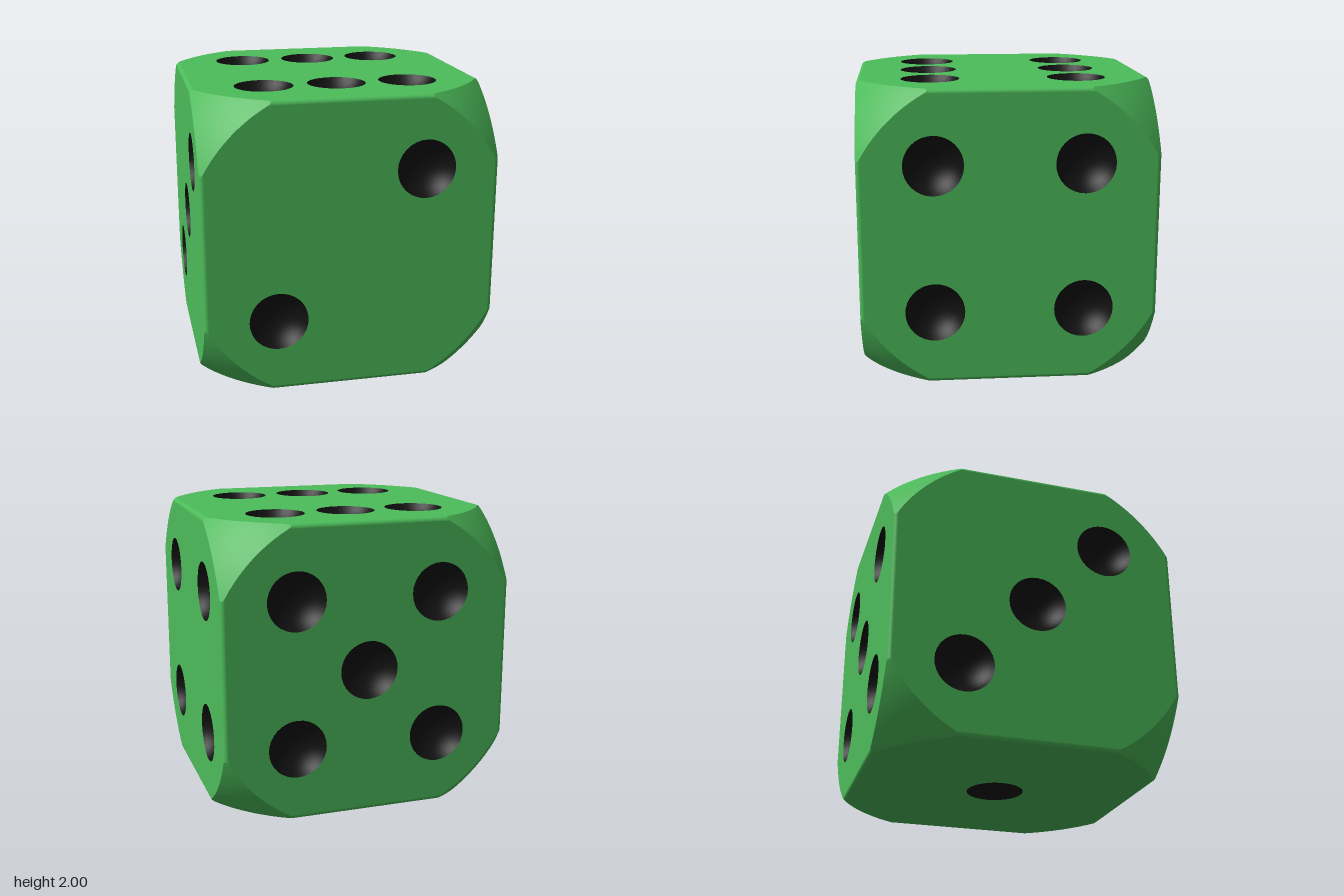
import * as THREE from 'three';

const R = 1.5;            // sphere that trims the cube's corners
const B = 0.03;           // edge rounding radius
const F = 1 - B;          // half width of the flat faces
const FACE_R = Math.sqrt(R * R - 1);
const PIP_R = 0.2, PIP_DEPTH = 0.12;
const H = Math.PI / 2;

const green = new THREE.MeshStandardMaterial({ color: 0x4cbc5a });
const black = new THREE.MeshStandardMaterial({ color: 0x111111 });

// Flat face in the XY plane with a hole for each pip
function faceGeometry(pips) {
  const shape = new THREE.Shape();
  const t0 = Math.acos(F / FACE_R);
  const pts = [];
  for (let k = 0; k < 4; k++)
    for (let i = 0; i <= 10; i++) {
      const t = k * H + t0 + (H - 2 * t0) * i / 10;
      pts.push(new THREE.Vector2(FACE_R * Math.cos(t), FACE_R * Math.sin(t)));
    }
  shape.setFromPoints(pts);
  for (const [x, y] of pips)
    shape.holes.push(new THREE.Path().absarc(x, y, PIP_R, 0, Math.PI * 2, true));
  return new THREE.ShapeGeometry(shape, 16);
}

// Hollow bowl opening towards +z
function pipGeometry() {
  const sphereR = (PIP_R ** 2 + PIP_DEPTH ** 2) / (2 * PIP_DEPTH);
  const a0 = Math.asin(PIP_R / sphereR);
  const profile = [];
  for (let i = 0; i <= 8; i++) {
    const a = a0 * (1 - i / 8);
    profile.push(new THREE.Vector2(sphereR * Math.sin(a), sphereR - PIP_DEPTH - sphereR * Math.cos(a)));
  }
  return new THREE.LatheGeometry(profile, 32).rotateX(H);
}

function build(positions, normals, index) {
  const g = new THREE.BufferGeometry();
  g.setAttribute('position', new THREE.Float32BufferAttribute(positions, 3));
  g.setAttribute('normal', new THREE.Float32BufferAttribute(normals, 3));
  g.setIndex(index);
  return g;
}

// Point on the rounded +x/+y edge where it meets the trimming sphere
function edgePoint(a) {
  const x = F + B * Math.cos(a), y = F + B * Math.sin(a);
  return new THREE.Vector3(x, y, Math.sqrt(R * R - x * x - y * y));
}

// Rounded strip along the z-parallel edge at +x +y
function edgeGeometry(n = 6) {
  const pos = [], nor = [], idx = [];
  for (let i = 0; i <= n; i++) {
    const a = H * i / n, p = edgePoint(a);
    for (const s of [-1, 1]) {
      pos.push(p.x, p.y, s * p.z);
      nor.push(Math.cos(a), Math.sin(a), 0);
    }
    const k = i * 2;
    if (i < n) idx.push(k, k + 2, k + 1, k + 1, k + 2, k + 3);
  }
  return build(pos, nor, idx);
}

// Spherical patch on the +x +y +z corner, in rings around its middle
function cornerGeometry(rings = 8) {
  const side = [];
  const t0 = Math.acos(F / FACE_R);
  for (let i = 0; i < 10; i++) {
    const t = t0 + (H - 2 * t0) * i / 10;
    side.push(new THREE.Vector3(1, FACE_R * Math.cos(t), FACE_R * Math.sin(t)));
  }
  for (let i = 0; i < 6; i++) {
    const p = edgePoint(H * i / 6);
    side.push(new THREE.Vector3(p.x, p.z, p.y));
  }
  const loop = [
    ...side,
    ...side.map(p => new THREE.Vector3(p.y, p.z, p.x)),
    ...side.map(p => new THREE.Vector3(p.z, p.x, p.y)),
  ];
  const mid = new THREE.Vector3(1, 1, 1).setLength(R);
  const pos = [], nor = [], idx = [], n = loop.length;
  for (let r = 0; r <= rings; r++)
    for (let i = 0; i < n; i++) {
      const p = mid.clone().lerp(loop[i], r / rings).setLength(R);
      pos.push(p.x, p.y, p.z);
      nor.push(p.x / R, p.y / R, p.z / R);
      if (r === rings) continue;
      const j = (i + 1) % n, a = r * n + i, b = r * n + j;
      idx.push(a, b + n, a + n);
      if (r > 0) idx.push(a, b, b + n);
    }
  return build(pos, nor, idx);
}

export function createModel() {
  const model = new THREE.Group();
  model.name = 'die';
  const body = new THREE.Group();
  body.position.y = 1;
  model.add(body);

  function add(name, geometry, material, parent = body) {
    const mesh = new THREE.Mesh(geometry, material);
    mesh.name = name;
    parent.add(mesh);
    return mesh;
  }

  // Pip layouts, seen from outside each face
  const d = 0.5;
  const two = [[-d, -d], [d, d]];
  const four = [...two, [-d, d], [d, -d]];
  const faces = [
    ['frontFace', 0, 0, two],
    ['backFace', 0, Math.PI, [...four, [0, 0]]],
    ['rightFace', 0, H, four],
    ['leftFace', 0, -H, [...two, [0, 0]]],
    ['topFace', -H, 0, [...four, [0, d], [0, -d]]],
    ['bottomFace', H, 0, [[0, 0]]],
  ];
  const bowl = pipGeometry();
  for (const [name, rx, ry, pips] of faces) {
    const face = new THREE.Group();
    face.name = name;
    face.rotation.set(rx, ry, 0);
    body.add(face);
    add('faceSurface', faceGeometry(pips), green, face).position.z = 1;
    for (const [x, y] of pips) add('pip', bowl, black, face).position.set(x, y, 1);
  }

  // Twelve rounded edges: four along each axis
  const edge = edgeGeometry();
  for (const [rx, ry] of [[0, 0], [H, 0], [0, H]])
    for (let k = 0; k < 4; k++) add('roundedEdge', edge, green).rotation.set(rx, ry, k * H);

  // Eight spherical corners: four on top, four flipped below
  const corner = cornerGeometry();
  for (const flip of [0, Math.PI])
    for (let k = 0; k < 4; k++) {
      const c = add('roundedCorner', corner, green);
      c.rotation.set(flip, k * H, 0, 'YXZ');
    }
  return model;
}
